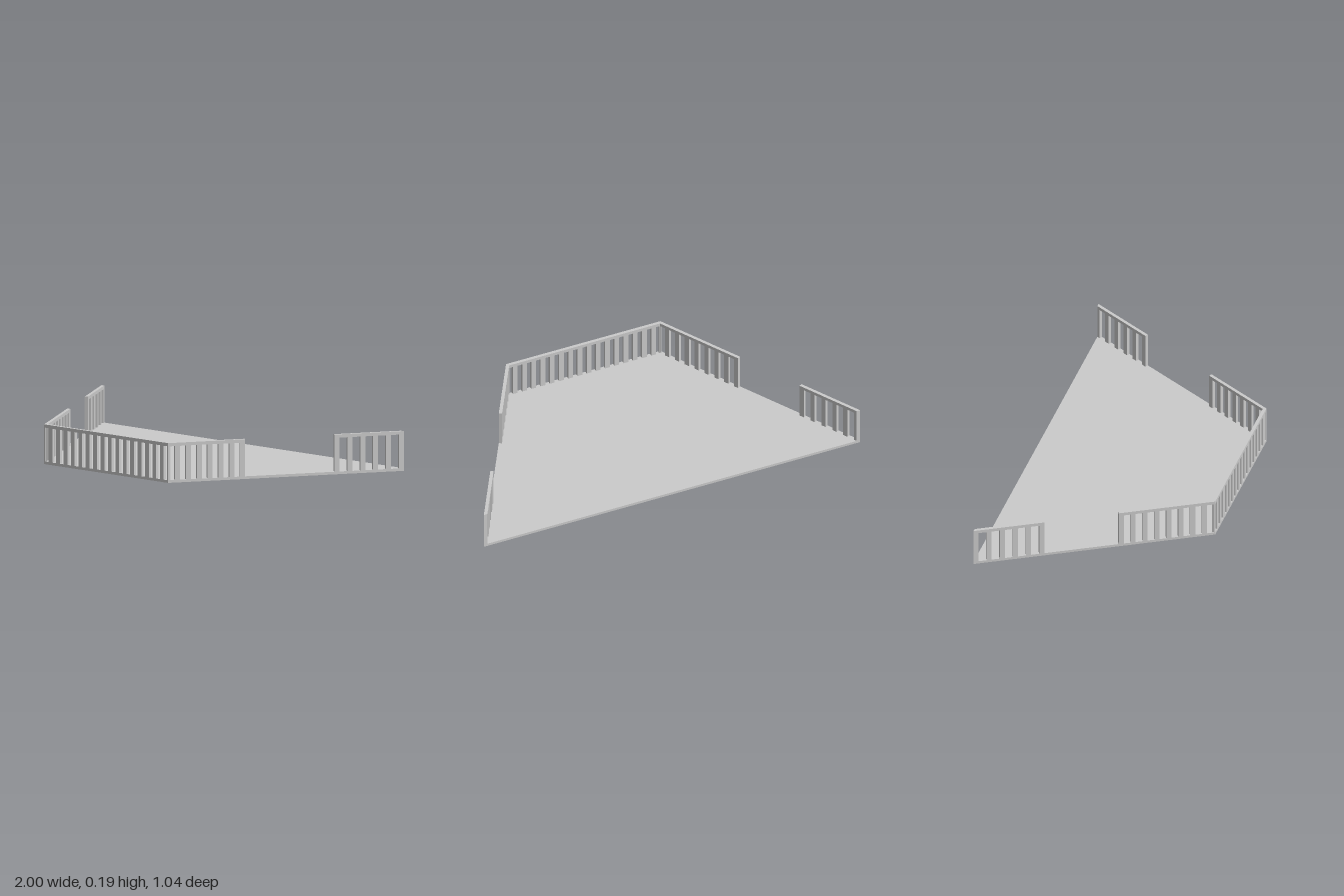
import * as THREE from 'three';

const HEIGHT = 0.195, RAIL = 0.016, FLOOR = 0.013, THICK = 0.016, SLAT = 0.025;
const BACK = -0.52, FRONT = 0.52, WIDE = 1, NARROW = 0.41;

export function createModel() {
  const group = new THREE.Group();
  const material = new THREE.MeshStandardMaterial({ color: 0xcccccc, flatShading: true });

  function add(name, geometry) {
    const mesh = new THREE.Mesh(geometry, material);
    mesh.name = name;
    group.add(mesh);
  }

  // x of the slanted outer edge at a given z
  const edgeX = (z) => THREE.MathUtils.mapLinear(z, BACK, FRONT, WIDE, NARROW);

  // Slatted panel from a to b ([x, z]); inside of the deck lies to the right of a -> b seen from above.
  // startPost / endPost are the widths of the closing posts, slats the number in between.
  function railing(name, a, b, slats, startPost, endPost) {
    const dx = b[0] - a[0], dz = b[1] - a[1];
    const length = Math.hypot(dx, dz);
    const ux = dx / length, uz = dz / length;
    const shape = new THREE.Shape([[0, 0], [length, 0], [length, HEIGHT], [0, HEIGHT]]
      .map(([x, y]) => new THREE.Vector2(x, y)));
    const gap = (length - startPost - endPost - slats * SLAT) / (slats + 1);
    for (let i = 0; i <= slats; i++) {
      const s = startPost + i * (gap + SLAT);
      shape.holes.push(new THREE.Path([
        [s, FLOOR], [s, HEIGHT - RAIL], [s + gap, HEIGHT - RAIL], [s + gap, FLOOR],
      ].map(([x, y]) => new THREE.Vector2(x, y))));
    }
    const geometry = new THREE.ExtrudeGeometry(shape, { depth: THICK, bevelEnabled: false });
    geometry.translate(0, 0, -THICK);
    geometry.applyMatrix4(new THREE.Matrix4().makeBasis(
      new THREE.Vector3(ux, 0, uz), new THREE.Vector3(0, 1, 0), new THREE.Vector3(-uz, 0, ux),
    ).setPosition(a[0], 0, a[1]));
    // Trim the panel end flush with the back edge of the deck
    const p = geometry.attributes.position;
    for (let i = 0; i < p.count; i++) {
      if (p.getZ(i) < BACK) {
        p.setX(i, p.getX(i) + (BACK - p.getZ(i)) * ux / uz);
        p.setZ(i, BACK);
      }
    }
    geometry.computeVertexNormals();
    add(name, geometry);
  }

  // Trapezoid deck
  const outline = new THREE.Shape([[-NARROW, -FRONT], [NARROW, -FRONT], [WIDE, -BACK], [-WIDE, -BACK]]
    .map(([x, y]) => new THREE.Vector2(x, y)));
  const deck = new THREE.ExtrudeGeometry(outline, { depth: FLOOR, bevelEnabled: false });
  deck.rotateX(-Math.PI / 2);
  add('deck', deck);

  // Railings, running anticlockwise seen from above so they face outward
  const CORNER = 0.006, GATE = -0.215;
  railing('frontRailing', [-NARROW, FRONT], [NARROW, FRONT], 16, CORNER, CORNER);
  railing('leftFrontRailing', [NARROW, FRONT], [edgeX(0.18), 0.18], 6, CORNER, SLAT);
  railing('leftBackRailing', [edgeX(GATE), GATE], [WIDE, BACK], 4, SLAT, SLAT);
  railing('rightFrontRailing', [-edgeX(0.105), 0.105], [-NARROW, FRONT], 7, SLAT, CORNER);
  railing('rightBackRailing', [-WIDE, BACK], [-edgeX(GATE), GATE], 4, SLAT, SLAT);

  return group;
}
